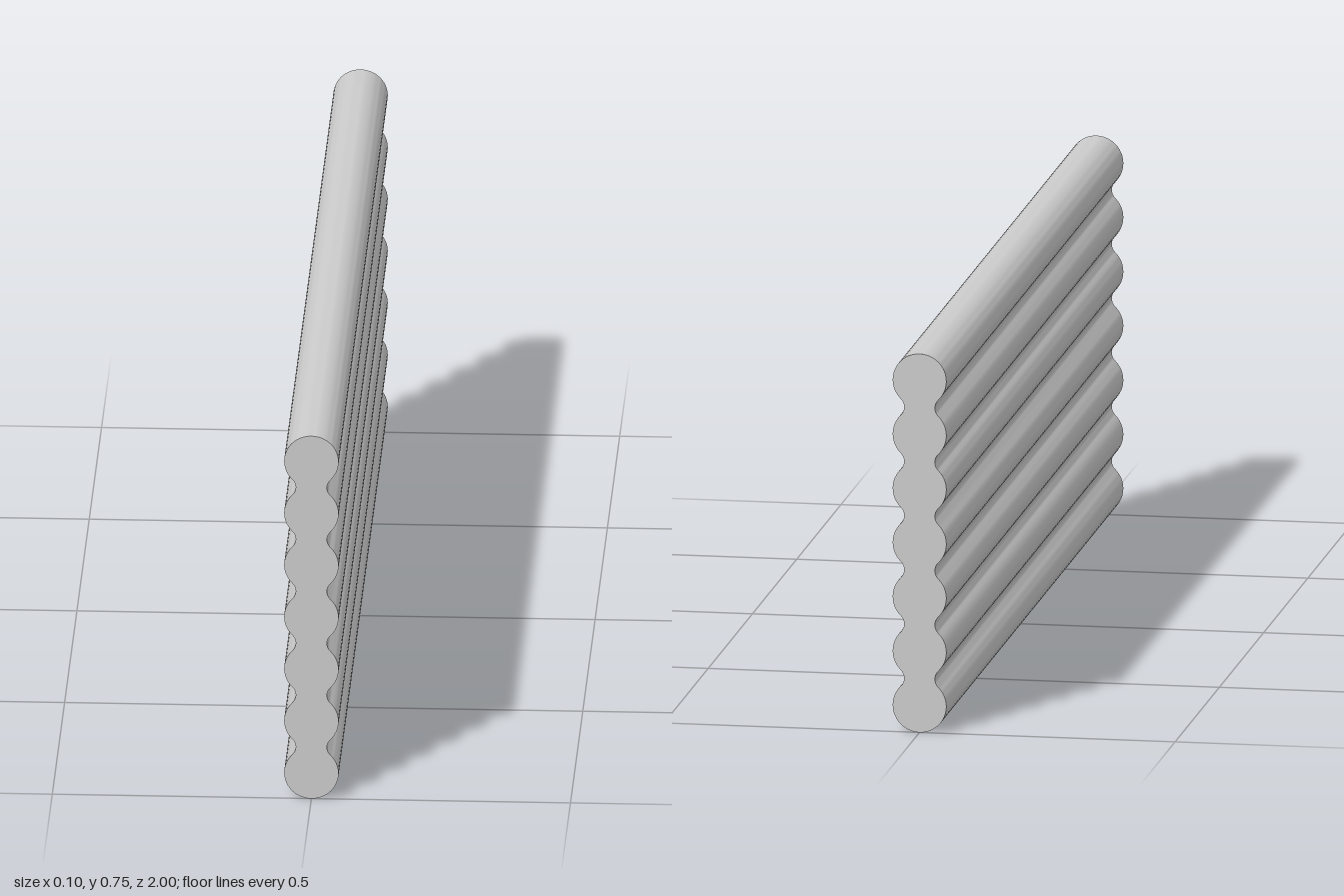
import * as THREE from 'three';
import { toCreasedNormals } from 'three/addons/utils/BufferGeometryUtils.js';

const LOBES = 7, PITCH = 0.107, R = 0.0525, WAIST = 0.03, LENGTH = 2;

// Right half of the cross-section, bottom to top: round ribs joined by tangent fillets
function halfProfile() {
  const h = PITCH / 2;
  const fillet = (WAIST ** 2 + h ** 2 - R ** 2) / (2 * (R - WAIST));
  const fx = WAIST + fillet;
  const a = Math.atan2(h, fx);
  const pts = [];
  const arc = (cx, cy, r, from, to, n, skip) => {
    for (let i = skip; i <= n; i++) {
      const t = from + (to - from) * i / n;
      pts.push(new THREE.Vector2(cx + r * Math.cos(t), cy + r * Math.sin(t)));
    }
  };
  for (let i = 0; i < LOBES; i++) {
    const y = R + i * PITCH, first = i === 0, last = i === LOBES - 1;
    arc(0, y, R, first ? -Math.PI / 2 : -a, last ? Math.PI / 2 : a, first || last ? 18 : 12, first ? 0 : 1);
    if (!last) arc(fx, y + h, fillet, Math.PI + a, Math.PI - a, 8, 1);
  }
  return pts;
}

export function createModel() {
  const group = new THREE.Group();
  group.name = 'ribbedPanel';

  // Mirror the half profile and extrude it along z
  const right = halfProfile();
  const left = right.slice(1, -1).reverse().map(p => new THREE.Vector2(-p.x, p.y));
  const geometry = new THREE.ExtrudeGeometry(new THREE.Shape([...right, ...left]),
    { depth: LENGTH, bevelEnabled: false });
  geometry.translate(0, 0, -LENGTH / 2);

  const panel = new THREE.Mesh(toCreasedNormals(geometry, 0.7),
    new THREE.MeshStandardMaterial({ color: 0xcccccc }));
  panel.name = 'panel';
  group.add(panel);
  return group;
}
